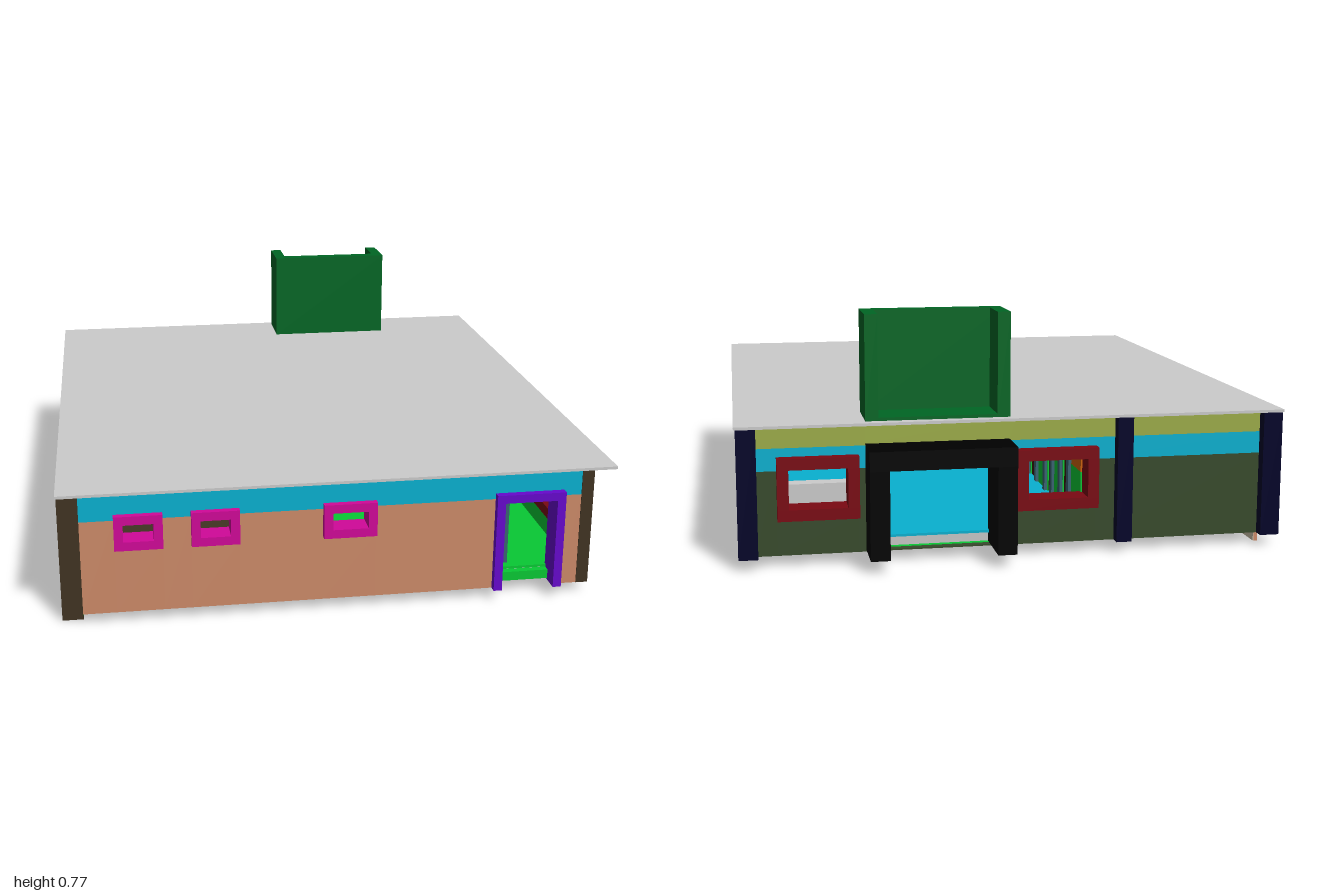
import * as THREE from 'three';

const C = {
  roof: 0xcccccc, salmon: 0xcc8a68, cyan: 0x08b0d0, olive: 0x384a2c, brown: 0x403322, navy: 0x000028,
  red: 0x7a0812, magenta: 0xd00898, violet: 0x6608cc, black: 0x000000, pine: 0x006624, lime: 0x9cac48,
  green: 0x08c834, orange: 0xcc6206, beige: 0xccc0a8, slate: 0x3a6472, door: 0x3a1808, plum: 0xb80aa4
};
const mats = {};
const mat = c => mats[c] ??= new THREE.MeshStandardMaterial({ color: C[c], flatShading: true });

export function createModel() {
  const root = new THREE.Group();

  // box from min/max extents
  const box = (name, color, x0, x1, y0, y1, z0, z1, parent = root) => {
    const m = new THREE.Mesh(new THREE.BoxGeometry(x1 - x0, y1 - y0, z1 - z0), mat(color));
    m.position.set((x0 + x1) / 2, (y0 + y1) / 2, (z0 + z1) / 2);
    m.name = name;
    parent.add(m);
  };
  // box given along a wall: u runs along x (axis 'x') or z (axis 'z'), t is the thickness direction
  const slab = (name, color, axis, u0, u1, y0, y1, t0, t1, parent) => axis === 'x'
    ? box(name, color, u0, u1, y0, y1, t0, t1, parent)
    : box(name, color, t0, t1, y0, y1, u0, u1, parent);

  // banded wall with rectangular openings [u0, u1, y0, y1]
  const wall = (name, axis, u0, u1, t0, t1, bands, holes = []) => {
    const g = new THREE.Group();
    g.name = name;
    root.add(g);
    const cuts = [u0, u1, ...holes.flatMap(h => [h[0], h[1]])].sort((a, b) => a - b);
    for (const [color, y0, y1] of bands) {
      for (let i = 0; i + 1 < cuts.length; i++) {
        const a = cuts[i], b = cuts[i + 1], mid = (a + b) / 2;
        if (b - a < 1e-4) continue;
        const h = holes.find(h => mid > h[0] && mid < h[1]);
        const spans = h ? [[y0, Math.min(y1, h[2])], [Math.max(y0, h[3]), y1]] : [[y0, y1]];
        for (const [p, q] of spans) if (q - p > 1e-4) slab(name + 'Panel', color, axis, a, b, p, q, t0, t1, g);
      }
    }
  };

  // window or door frame around an outer rectangle, with optional mullions and sill
  const frame = (name, color, axis, [u0, u1, y0, y1], t0, t1, w, panes = 1, sill = true) => {
    const g = new THREE.Group();
    g.name = name;
    root.add(g);
    const b = sill ? y0 + w : y0;
    slab('head', color, axis, u0, u1, y1 - w, y1, t0, t1, g);
    if (sill) slab('sill', color, axis, u0, u1, y0, b, t0, t1, g);
    for (let i = 0; i <= panes; i++) {
      const u = u0 + (u1 - u0 - w) * i / panes;
      slab('post', color, axis, u, u + w, b, y1 - w, t0, t1, g);
    }
  };

  const LOW = 0.035, TOP = 0.437;
  const inner = [['green', LOW, 0.25], ['orange', 0.25, TOP]];

  // flat roof
  box('roof', 'roof', -0.865, 0.865, TOP, 0.446, -0.91, 1);

  // front wall, windows and entrance
  const frontWindows = [[-0.697, -0.549, 0.248, 0.359], [-0.463, -0.315, 0.248, 0.359], [-0.056, 0.111, 0.248, 0.359]];
  const entrance = [0.491, 0.713, LOW, 0.359];
  const frontHoles = [...frontWindows, entrance];
  wall('frontWall', 'x', -0.80, 0.77, 0.92, 0.953, [['salmon', LOW, 0.34], ['cyan', 0.34, TOP]], frontHoles);
  wall('frontLining', 'x', -0.80, 0.77, 0.897, 0.92, inner, frontHoles);
  for (const w of frontWindows) frame('frontWindow', 'magenta', 'x', w, 0.9, 0.975, 0.028);
  frame('entranceFrame', 'violet', 'x', entrance, 0.89, 0.977, 0.027, 1, false);
  box('entranceDoor', 'slate', 0.518, 0.558, 0.09, 0.33, 0.70, 0.89);
  box('entranceStep', 'green', 0.518, 0.686, 0.04, 0.07, 0.897, 0.92);

  // right wall and windows
  const rightWindows = [[0.512, 0.769, 0.15, 0.343], [0.056, 0.254, 0.15, 0.343], [-0.726, 0.018, 0.15, 0.343]];
  wall('rightWall', 'z', -0.86, 0.95, 0.785, 0.81, [['olive', LOW, 0.31], ['cyan', 0.31, TOP]], rightWindows);
  wall('rightLining', 'z', -0.845, 0.92, 0.765, 0.785, inner, rightWindows);
  rightWindows.forEach((w, i) => frame('rightWindow', 'red', 'z', w, 0.755, 0.845, 0.036, i === 2 ? 3 : 1));
  box('frontRightPier', 'brown', 0.77, 0.809, LOW, TOP, 0.95, 0.955);

  // left wall down to the ground, with its lining and buttresses
  box('leftWall', 'salmon', -0.815, -0.803, 0, TOP, -0.845, 0.9);
  box('leftFootFront', 'green', -0.803, -0.80, 0, LOW, -0.01, 0.9);
  box('leftFootBack', 'beige', -0.803, -0.80, 0, LOW, -0.845, -0.01);
  wall('leftLiningFront', 'z', -0.01, 0.9, -0.80, -0.77, inner);
  box('leftLiningBack', 'beige', -0.80, -0.77, LOW, TOP, -0.845, -0.01);
  for (const z of [-0.425, 0.015, 0.455, 0.88]) box('buttress', 'brown', -0.865, -0.80, 0, TOP, z - 0.036, z + 0.036);

  // back wall, windows and pillars
  const backWindows = [[0.49, 0.74, 0.15, 0.343], [-0.26, 0, 0.15, 0.343]];
  const porch = [0.02, 0.469, 0.04, 0.375];
  const backHoles = [...backWindows, porch];
  wall('backWall', 'x', -0.80, 0.81, -0.87, -0.848,
    [['olive', LOW, 0.30], ['cyan', 0.30, 0.37], ['lime', 0.37, TOP]], backHoles);
  wall('backLining', 'x', -0.80, 0.77, -0.848, -0.83, inner, backHoles);
  for (const w of backWindows) frame('backWindow', 'red', 'x', w, -0.905, -0.82, 0.035);
  box('backRightPillar', 'navy', 0.80, 0.86, LOW, TOP, -0.905, -0.83);
  box('backMiddlePillar', 'navy', -0.37, -0.32, LOW, TOP, -0.905, -0.86);
  box('backLeftPillar', 'navy', -0.862, -0.80, LOW, TOP, -0.905, -0.83);
  frame('backPorch', 'black', 'x', porch, -1, -0.83, 0.06, 1, false);

  // U-shaped rooftop screen, open to the back
  box('screenPanel', 'pine', 0.02, 0.469, 0.446, 0.772, -0.75, -0.71);
  for (const x of [0.02, 0.429]) box('screenWing', 'pine', x, x + 0.04, 0.446, 0.772, -0.88, -0.75);
  box('screenBase', 'pine', 0.06, 0.429, 0.446, 0.456, -0.88, -0.75);

  // room floors and a counter below the back window
  const F0 = 0.072, F1 = 0.08;
  box('hallFloor', 'cyan', -0.23, 0.765, F0, F1, -0.85, 0.21);
  box('entranceFloor', 'green', -0.13, 0.765, F0, F1, 0.21, 0.9);
  box('sideRoomFloor', 'brown', -0.77, -0.13, F0, F1, -0.10, 0.9);
  box('smallRoomFloor', 'plum', -0.77, -0.23, F0, F1, -0.845, -0.10);
  box('counter', 'roof', 0.52, 0.74, F1, 0.19, -0.80, -0.66);
  box('counterBack', 'roof', 0.52, 0.74, 0.19, 0.24, -0.80, -0.75);

  // inner partitions with doorways
  const doorways = [[-0.69, -0.60], [-0.46, -0.38], [-0.22, -0.115]].map(([a, b]) => [a, b, 0, 0.32]);
  const sideDoor = [0.69, 0.82, 0, 0.32];
  wall('smallRoomPartition', 'z', -0.83, -0.10, -0.24, -0.22, inner, doorways);
  wall('sideRoomPartition', 'z', -0.08, 0.9, -0.14, -0.12, inner, [sideDoor]);
  wall('crossPartition', 'x', -0.77, -0.12, -0.10, -0.08, inner);
  frame('crossDoorFrame', 'slate', 'x', [-0.44, -0.33, F1, 0.337], -0.11, -0.07, 0.016, 1, false);
  for (const z of [-0.60, -0.37]) box('roomDivider', 'beige', -0.77, -0.24, LOW, TOP, z - 0.01, z + 0.01);
  for (const [a, b] of doorways) {
    frame('doorFrame', 'slate', 'z', [a - 0.02, b + 0.035, LOW, 0.33], -0.25, -0.21, 0.03, 1, false);
    box('roomDoor', 'door', -0.235, -0.225, F1, 0.31, a, b);
  }
  frame('sideDoorFrame', 'slate', 'z', [0.655, 0.84, LOW, 0.33], -0.15, -0.11, 0.03, 1, false);
  box('sideDoorLeaf', 'green', -0.135, -0.125, F1, 0.31, 0.69, 0.82);

  return root;
}
